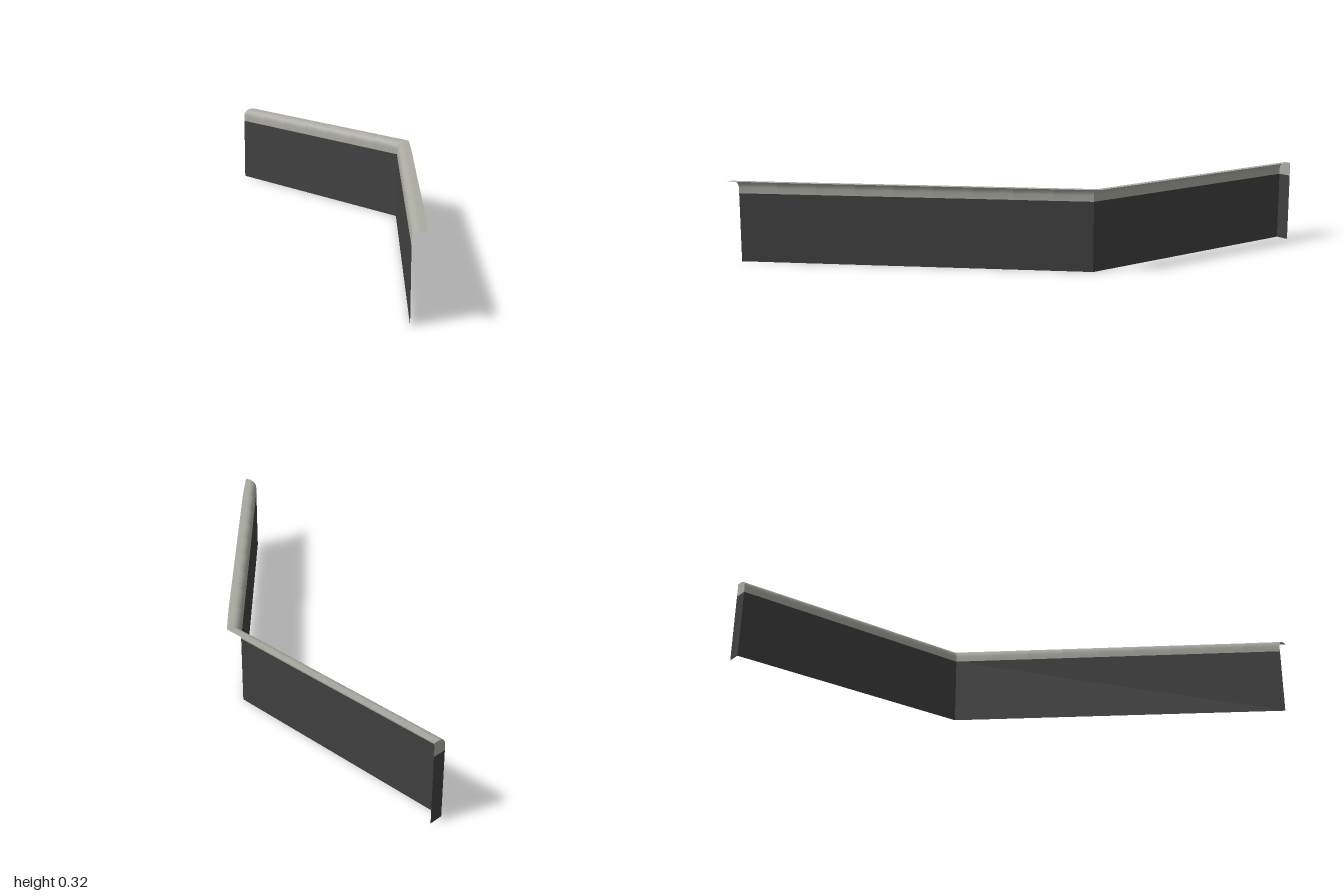
import * as THREE from 'three';

const WALL_H = 0.265, TOP = 0.318;
// Plan of the wall: inner face points, and the matching outer edge of the coping
const IN = [[-1, -0.461], [-0.006, -0.44], [0.943, 0.513]];
const OUT = [[-1, -0.515], [0.012, -0.492], [1, 0.503]];
// Coping section: [fraction of width, height]
const PROFILE = [[0, WALL_H], [0, 0.288], [0.05, 0.3], [0.16, 0.309], [0.34, 0.315], [0.55, TOP], [1, TOP]];

// Surface stretched between two rows of points, facing outward
function strip(rowA, rowB) {
  const n = rowA.length, index = [];
  for (let i = 0; i < n - 1; i++) index.push(i, n + i, i + 1, n + i, n + i + 1, i + 1);
  const g = new THREE.BufferGeometry();
  g.setAttribute('position', new THREE.Float32BufferAttribute([...rowA, ...rowB].flat(), 3));
  g.setIndex(index);
  g.computeVertexNormals();
  return g;
}

// Coping section placed between an inner and an outer plan point
const section = ([a, b]) => PROFILE.map(([t, y]) => [a[0] + (b[0] - a[0]) * t, y, a[1] + (b[1] - a[1]) * t]);

// Plate closing the wall's right end, drawn in (z, y)
function endPlate(points) {
  const g = new THREE.ShapeGeometry(new THREE.Shape(points.map(p => new THREE.Vector2(...p))));
  return g.rotateY(-Math.PI / 2).translate(-1, 0, 0);
}

export function createModel() {
  const group = new THREE.Group();
  const wallMat = new THREE.MeshStandardMaterial({ name: 'dark wall', color: 0x404040, side: THREE.DoubleSide });
  const stoneMat = new THREE.MeshStandardMaterial({ name: 'grey stone', color: 0xaaaaa2, side: THREE.DoubleSide });
  const add = (name, geo, mat) => {
    const m = new THREE.Mesh(geo, mat);
    m.name = name;
    group.add(m);
  };

  [7, 9].forEach((stones, s) => {
    const a = IN[s], b = IN[s + 1];
    const dx = b[0] - a[0], dz = b[1] - a[1], len = Math.hypot(dx, dz), w = 0.0525;

    // Wall face
    add('wallFace', strip([[a[0], 0, a[1]], [a[0], WALL_H, a[1]]], [[b[0], 0, b[1]], [b[0], WALL_H, b[1]]]), wallMat);

    // Coping stones: square joints, mitred at the bend
    const joint = i => {
      if (i === 0) return [a, OUT[s]];
      if (i === stones) return [b, OUT[s + 1]];
      const p = [a[0] + dx * i / stones, a[1] + dz * i / stones];
      return [p, [p[0] + dz / len * w, p[1] - dx / len * w]];
    };
    for (let i = 0; i < stones; i++) {
      add('copingStone', strip(section(joint(i)), section(joint(i + 1))), stoneMat);
    }
  });

  // Closed right end
  const zi = IN[0][1], zo = OUT[0][1];
  add('wallEnd', endPlate([[zo, 0], [zi, 0], [zi, WALL_H], [zo, WALL_H]]), wallMat);
  add('copingEnd', endPlate([[zo, WALL_H], ...PROFILE.map(([t, y]) => [zi + (zo - zi) * t, y])]), stoneMat);
  return group;
}
